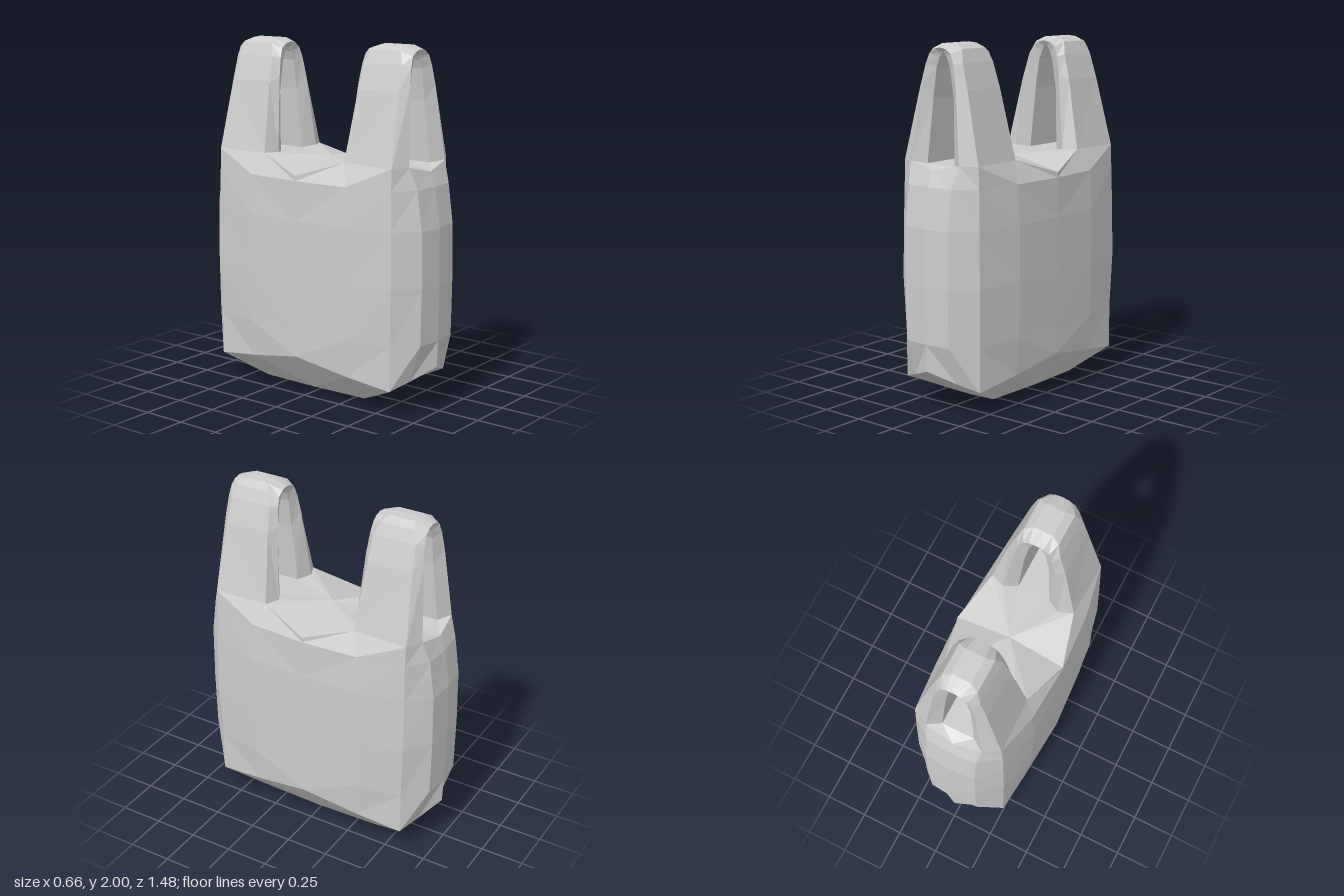
import * as THREE from 'three';

// Triangles joining stacked cross-sections, each running from the +x side round to +z.
function loft(rings, closed) {
  const tris = [];
  const n = rings[0].length;
  for (let k = 0; k < rings.length - 1; k++) {
    for (let j = 0; j < (closed ? n : n - 1); j++) {
      const i = (j + 1) % n;
      const a = rings[k][j], b = rings[k][i], c = rings[k + 1][i], d = rings[k + 1][j];
      tris.push([a, d, c], [a, c, b]);
    }
  }
  return tris;
}

// Mirrors a quarter of the shape by sign pairs [x, z], keeping faces outward.
function mirroredMesh(name, tris, signs, material) {
  const pos = [];
  const same = (p, q) => p.every((v, i) => Math.abs(v - q[i]) < 1e-6);
  for (const [sx, sz] of signs) {
    for (const [a, b, c] of tris) {
      if (same(a, b) || same(b, c) || same(a, c)) continue;
      const order = sx * sz > 0 ? [a, b, c] : [a, c, b];
      for (const p of order) pos.push(p[0] * sx, p[1], p[2] * sz);
    }
  }
  const geo = new THREE.BufferGeometry();
  geo.setAttribute('position', new THREE.Float32BufferAttribute(pos, 3));
  geo.computeVertexNormals();
  const mesh = new THREE.Mesh(geo, material);
  mesh.name = name;
  return mesh;
}

export function createModel() {
  const group = new THREE.Group();
  group.name = 'shoppingBag';
  const material = new THREE.MeshStandardMaterial({ color: 0xcccccc, flatShading: true });

  // Foot of one handle leg: outer front, front tip, inner front, inner back, back tip, outer back
  const foot = [
    [0.26, 1.37, 0.6], [0.17, 1.37, 0.65], [0.095, 1.36, 0.6],
    [0.095, 1.36, 0.29], [0.17, 1.37, 0.245], [0.25, 1.37, 0.28],
  ];
  const [outerFront, tipFront, innerFront, innerBack, tipBack, outerBack] = foot;

  // Body: a quarter of each ring, bottom to top
  const level = (y, x0, x1, x2, z2, z3, z4) =>
    [[x0, y, 0], [x1, y, 0.33], [x2, y, z2], [0.15, y, z3], [0, y, z4]];
  const baseCorner = [0.15, 0.03, 0.35];
  const frontDip = [0, 1.33, 0.67];
  const sideDip = [0.325, 1.28, 0];
  const rings = [
    Array(5).fill([0, 0.003, 0]),
    [[0.16, 0.03, 0], baseCorner, baseCorner, baseCorner, [0, 0.03, 0.36]],
    [[0.325, 0.25, 0], [0.295, 0.19, 0.33], [0.265, 0.15, 0.6], [0.15, 0.19, 0.655], [0, 0.25, 0.73]],
    level(0.4, 0.325, 0.315, 0.265, 0.6, 0.72, 0.735),
    level(0.72, 0.328, 0.32, 0.275, 0.61, 0.725, 0.74),
    level(1.03, 0.326, 0.32, 0.27, 0.605, 0.72, 0.735),
    level(1.25, 0.325, 0.305, 0.265, 0.6, 0.69, 0.7),
    [sideDip, outerBack, outerFront, tipFront, frontDip],
  ];

  // Closed top around the handle feet
  const centre = [0, 1.355, 0];
  const midBack = [0, 1.36, 0.29], midFront = [0, 1.355, 0.6];
  const top = [
    [sideDip, centre, outerBack], [outerBack, centre, tipBack],
    [tipBack, centre, innerBack], [innerBack, centre, midBack],
    [innerBack, midBack, midFront], [innerBack, midFront, innerFront],
    [innerFront, midFront, frontDip], [innerFront, frontDip, tipFront],
  ];
  group.add(mirroredMesh('bagBody', [...loft(rings, false), ...top],
    [[1, 1], [-1, 1], [1, -1], [-1, -1]], material));

  // Handles: six-sided section carried up one leg to the crown of the arch
  // Each station: outer [x, y, zFront, zBack], tip, inner
  const section = (o, t, i) => [
    [o[0], o[1], o[2]], [t[0], t[1], t[2]], [i[0], i[1], i[2]],
    [i[0], i[1], i[3]], [t[0], t[1], t[3]], [o[0], o[1], o[3]],
  ];
  const leg = [
    foot,
    section([0.167, 1.76, 0.575, 0.31], [0.12, 1.78, 0.615, 0.275], [0.073, 1.7, 0.575, 0.31]),
    section([0.127, 1.9, 0.565, 0.32], [0.097, 1.89, 0.605, 0.285], [0.047, 1.87, 0.575, 0.31]),
    section([0.1, 1.97, 0.54, 0.35], [0.075, 1.945, 0.6, 0.29], [0.027, 1.92, 0.575, 0.31]),
    section([0.055, 1.995, 0.52, 0.37], [0.04, 1.97, 0.6, 0.29], [0.012, 1.942, 0.575, 0.31]),
    section([0, 2, 0.52, 0.37], [0, 1.977, 0.6, 0.29], [0, 1.95, 0.575, 0.31]),
  ];
  const handle = loft(leg, true);
  group.add(mirroredMesh('frontHandle', handle, [[1, 1], [-1, 1]], material));
  group.add(mirroredMesh('backHandle', handle, [[1, -1], [-1, -1]], material));
  return group;
}
